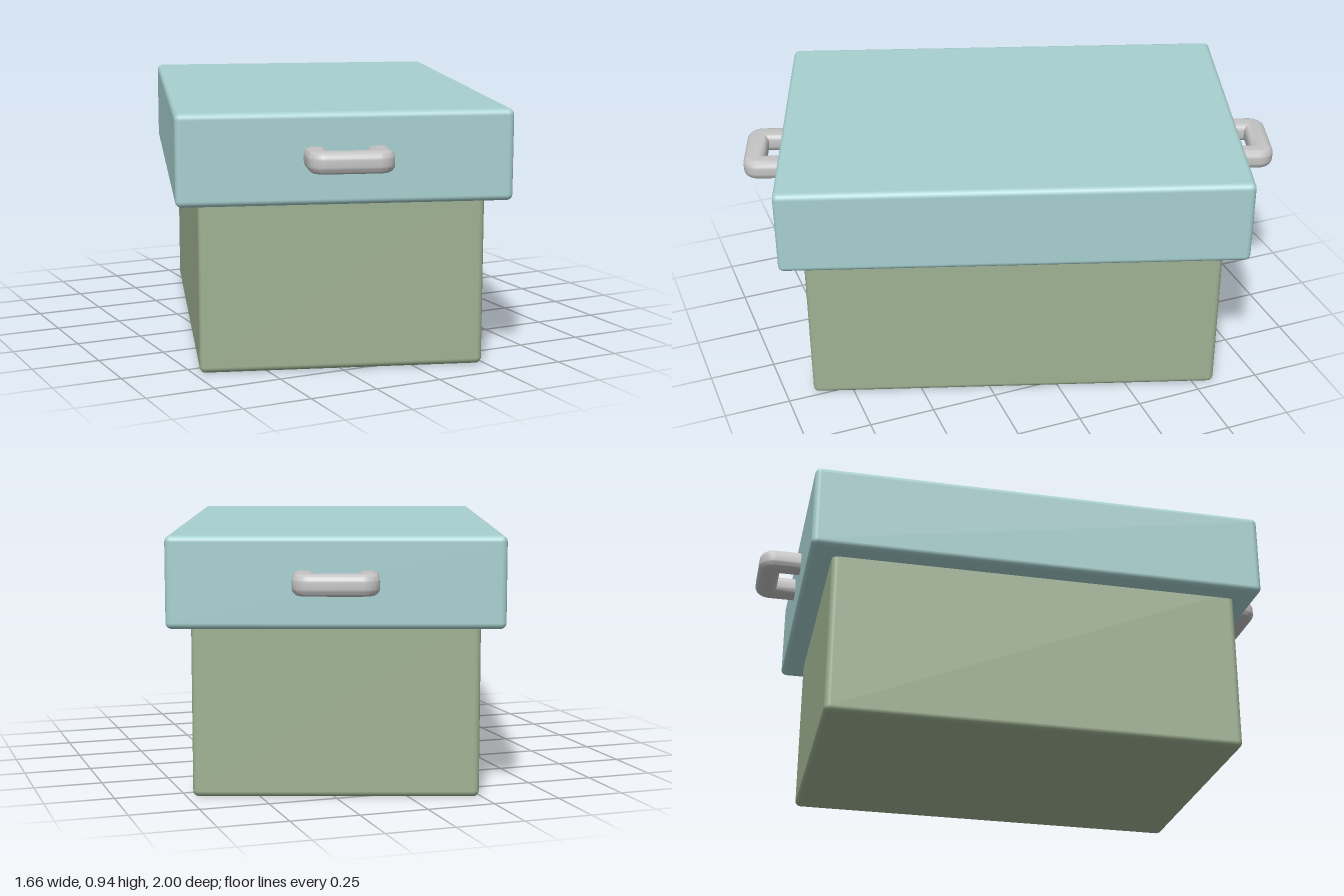
import * as THREE from 'three';
import { toCreasedNormals } from 'three/addons/utils/BufferGeometryUtils.js';
import { RoundedBoxGeometry } from 'three/addons/geometries/RoundedBoxGeometry.js';

const flat = (name, color) => new THREE.MeshStandardMaterial({ name, color });

// U-shaped grip lying flat, opening towards the box, with softened edges
function handleGeometry() {
  const half = 0.15, inner = 0.07, start = 0.82, end = 1.02, hole = 0.937;
  const r = 0.06, height = 0.076, bevel = 0.026;
  const s = new THREE.Shape();
  s.moveTo(half, start);
  s.lineTo(half, end - r);
  s.absarc(half - r, end - r, r, 0, Math.PI / 2);
  s.lineTo(-half + r, end);
  s.absarc(-half + r, end - r, r, Math.PI / 2, Math.PI);
  s.lineTo(-half, start);
  s.lineTo(-inner, start);
  s.lineTo(-inner, hole);
  s.lineTo(inner, hole);
  s.lineTo(inner, start);
  s.closePath();
  const g = new THREE.ExtrudeGeometry(s, {
    depth: height - 2 * bevel, curveSegments: 8,
    bevelEnabled: true, bevelThickness: bevel, bevelSize: bevel, bevelOffset: -bevel, bevelSegments: 5,
  });
  g.translate(0, 0, bevel - height / 2);
  g.rotateX(Math.PI / 2);
  return toCreasedNormals(g, 0.7);
}

export function createModel() {
  const model = new THREE.Group();
  model.name = 'storageBox';
  const add = (name, geometry, material, y) => {
    const mesh = new THREE.Mesh(geometry, material);
    mesh.name = name;
    mesh.position.y = y;
    model.add(mesh);
    return mesh;
  };

  // Box body and overhanging lid
  add('body', new RoundedBoxGeometry(1.022, 0.66, 1.555, 4, 0.022), flat('sageGreen', 0x9fb293), 0.33);
  add('lid', new RoundedBoxGeometry(1.184, 0.325, 1.726, 4, 0.022), flat('paleTeal', 0xa8d0d0), 0.778);

  // One handle at each end
  const grey = flat('lightGrey', 0xc4c4c4);
  const grip = handleGeometry();
  add('frontHandle', grip, grey, 0.784);
  add('backHandle', grip, grey, 0.784).rotation.y = Math.PI;

  // The whole box sits turned on its base
  model.rotation.y = THREE.MathUtils.degToRad(-18.6);
  const root = new THREE.Group();
  root.name = 'model';
  root.add(model);
  return root;
}
